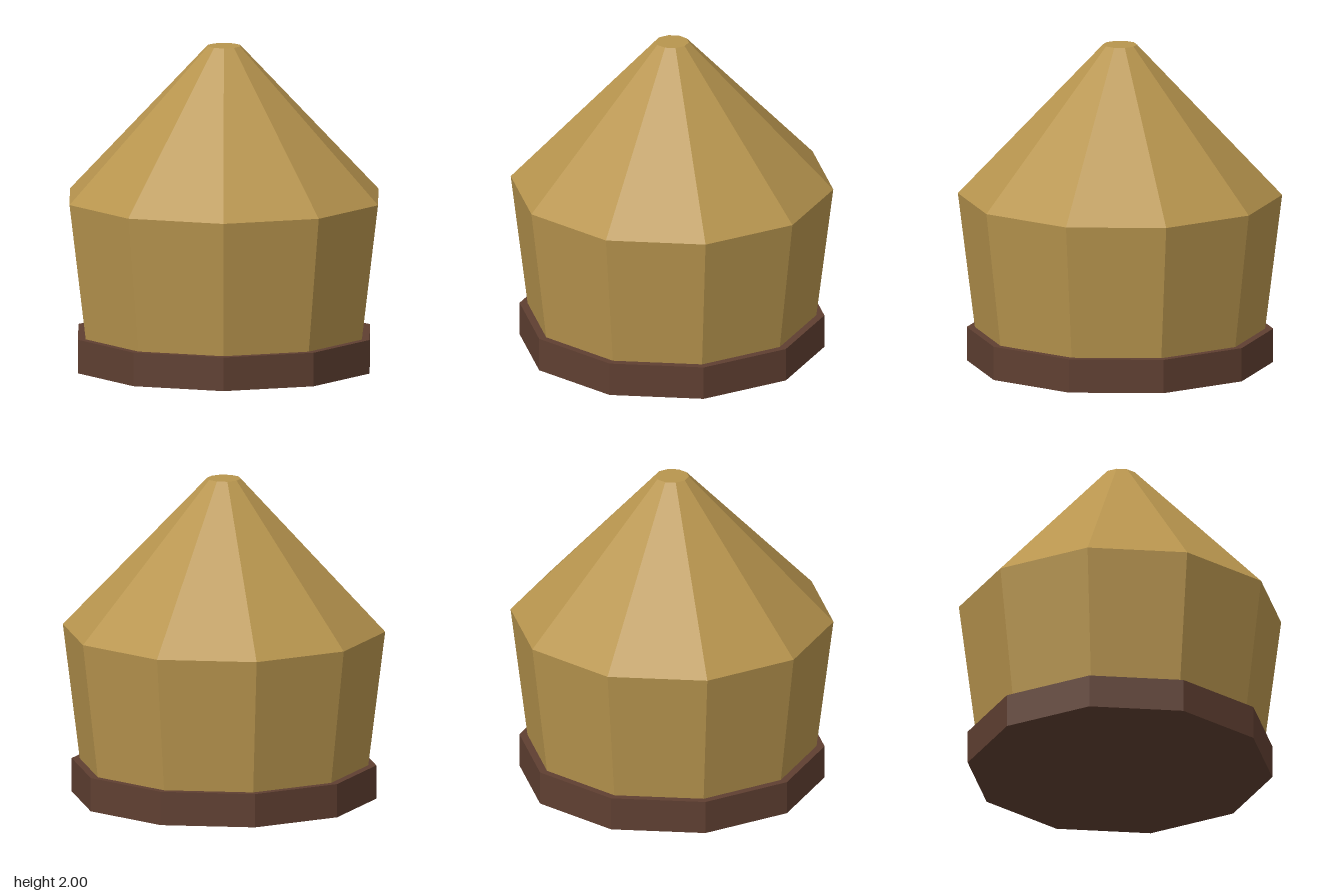
import * as THREE from 'three';

const SIDES = 10;

export function createModel() {
  const model = new THREE.Group();
  const gold = new THREE.MeshStandardMaterial({ color: 0xb8954e, flatShading: true });
  gold.name = 'gold';
  const brown = new THREE.MeshStandardMaterial({ color: 0x5f3f31, flatShading: true });
  brown.name = 'brown';

  // Ten-sided tier standing between two heights, with a corner facing the front
  function tier(name, material, bottomRadius, topRadius, y0, y1, open = false) {
    const geometry = new THREE.CylinderGeometry(topRadius, bottomRadius, y1 - y0, SIDES, 1, open);
    const mesh = new THREE.Mesh(geometry, material);
    mesh.name = name;
    mesh.position.y = (y0 + y1) / 2;
    model.add(mesh);
  }

  // Plinth, outward-leaning wall, and blunt-tipped roof
  tier('base', brown, 0.945, 0.945, 0, 0.21);
  tier('wall', gold, 0.895, 1, 0.21, 1.055, true);
  tier('roof', gold, 1, 0.105, 1.055, 2);

  return model;
}
